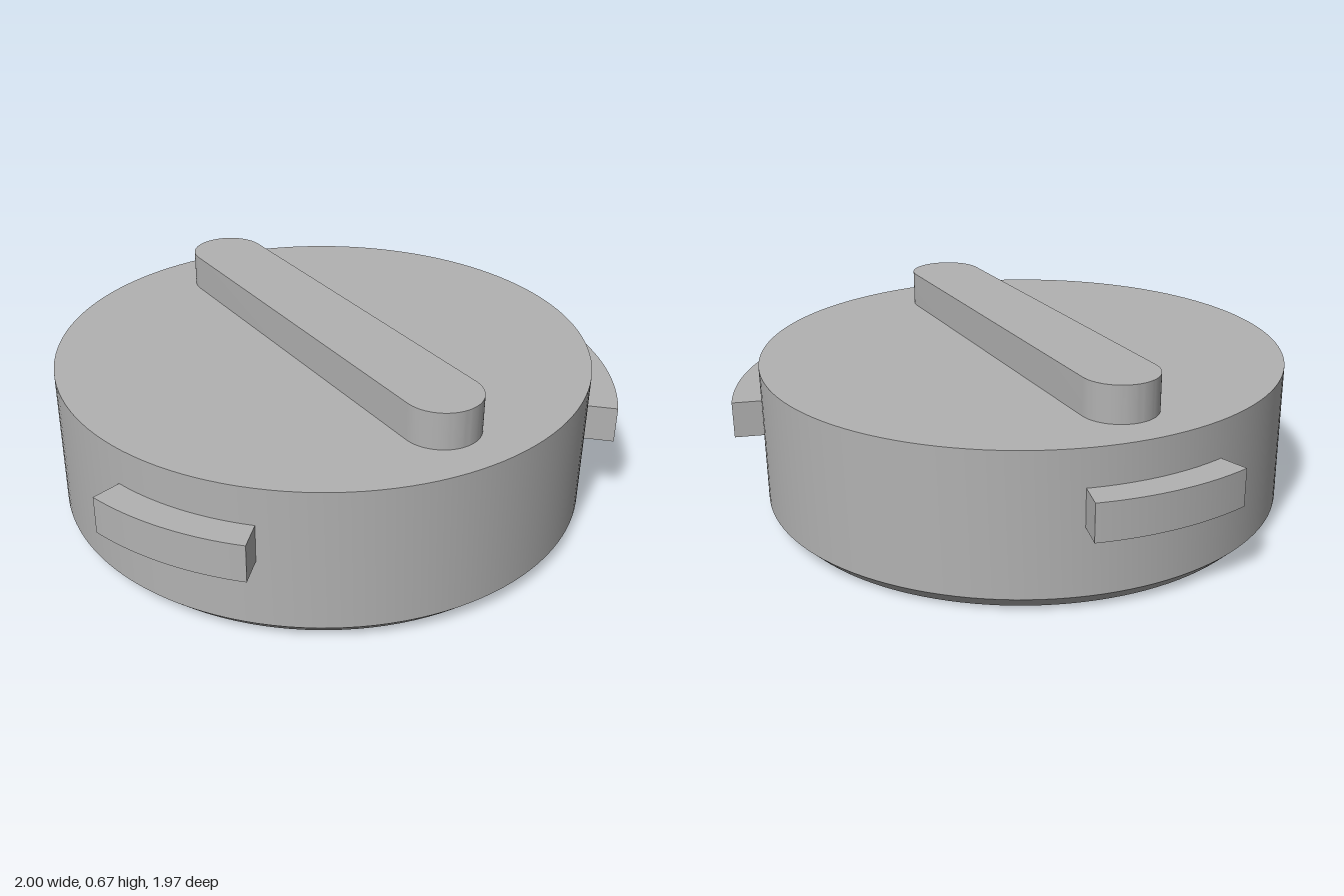
import * as THREE from 'three';
import { toCreasedNormals } from 'three/addons/utils/BufferGeometryUtils.js';

export function createModel() {
  const model = new THREE.Group();
  model.name = 'bayonetCap';
  const grey = new THREE.MeshStandardMaterial({ color: 0xb2b2b2 });
  grey.name = 'plain grey';

  // everything is arranged round the cap axis, slightly forward of the origin
  const cap = new THREE.Group();
  cap.name = 'cap';
  cap.position.z = 0.051;
  model.add(cap);

  const add = (name, geometry) => {
    const mesh = new THREE.Mesh(toCreasedNormals(geometry, 0.5), grey);
    mesh.name = name;
    cap.add(mesh);
    return mesh;
  };

  // extrude a plan shape upwards between two heights
  const slab = (shape, y0, y1) => {
    const geometry = new THREE.ExtrudeGeometry(shape, {
      depth: y1 - y0, bevelEnabled: false, curveSegments: 24,
    });
    return geometry.rotateX(-Math.PI / 2).translate(0, y0, 0);
  };

  // body: chamfered disc with a round blind recess underneath
  const profile = [
    [0, 0.36], [0.518, 0.36], [0.518, 0], [0.883, 0],
    [0.933, 0.05], [0.933, 0.545], [0, 0.545],
  ].map(([r, y]) => new THREE.Vector2(r, y));
  add('body', new THREE.LatheGeometry(profile, 128));

  // grip bar with rounded ends across the top
  const w = 0.132, straight = 0.808 - w;
  const bar = new THREE.Shape();
  bar.absarc(0, straight, w, 0, Math.PI, false);
  bar.absarc(0, -straight, w, Math.PI, Math.PI * 2, false);
  bar.closePath();
  add('gripBar', slab(bar, 0.54, 0.673));

  // three curved locking lugs, each spanning 30 degrees
  const half = Math.PI / 12;
  ['backLug', 'rightLug', 'leftLug'].forEach((name, i) => {
    const mid = Math.PI / 2 + (i * Math.PI * 2) / 3;
    const lug = new THREE.Shape();
    lug.absarc(0, 0, 1.035, mid - half, mid + half, false);
    lug.absarc(0, 0, 0.91, mid + half, mid - half, true);
    lug.closePath();
    add(name, slab(lug, 0.285, 0.415));
  });

  return model;
}
